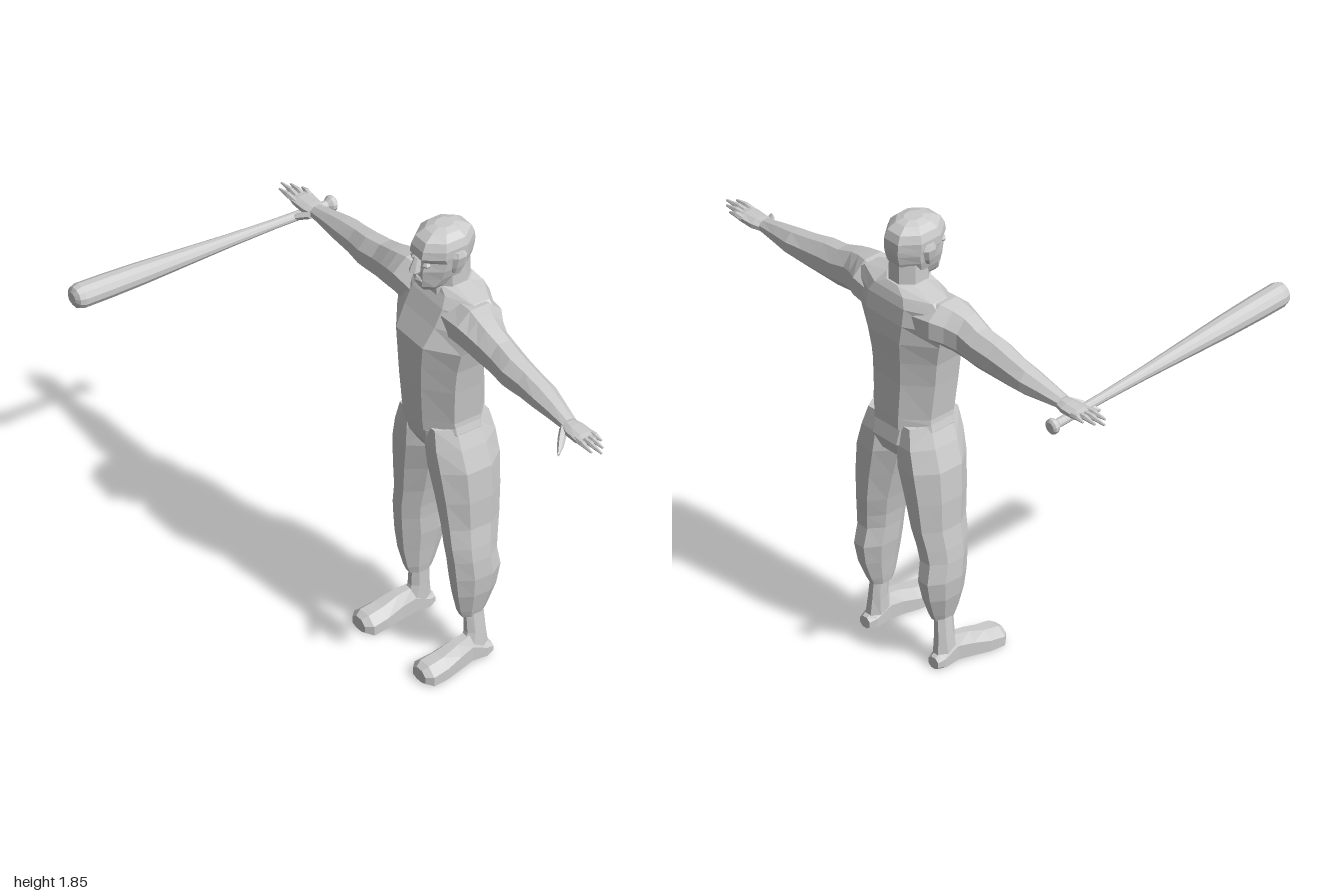
import * as THREE from 'three';

const grey = new THREE.MeshStandardMaterial({ color: 0xcccccc, flatShading: true });
grey.name = 'light grey';

// Lofts polygon rings along an axis. Each ring is [t, aMin, aMax, bMin, bMax],
// where (a, b) are (x, z) for axis y, (y, z) for axis x and (x, y) for axis z.
function loft(name, axis, rings, { sides = 8, side = 1, warp } = {}) {
  const pos = [], idx = [];
  const put = (t, a, b) => {
    const p = axis === 'y' ? [a, t, b] : axis === 'x' ? [t, a, b] : [a, b, t];
    const v = new THREE.Vector3(p[0] * side, p[1], p[2]);
    if (warp) warp(v);
    pos.push(v.x, v.y, v.z);
  };
  const k = 1 / Math.cos(Math.PI / sides);
  for (const [t, a0, a1, b0, b1] of rings) {
    for (let i = 0; i < sides; i++) {
      const g = ((i + 0.5) / sides) * Math.PI * 2;
      put(t, (a0 + a1) / 2 + ((a1 - a0) / 2) * k * Math.cos(g), (b0 + b1) / 2 + ((b1 - b0) / 2) * k * Math.sin(g));
    }
  }
  for (let r = 0; r < rings.length - 1; r++) {
    for (let i = 0; i < sides; i++) {
      const a = r * sides + i, b = r * sides + ((i + 1) % sides), c = a + sides, d = b + sides;
      idx.push(a, b, d, a, d, c);
    }
  }
  const last = (rings.length - 1) * sides;
  for (let i = 1; i < sides - 1; i++) idx.push(0, i + 1, i, last, last + i, last + i + 1);
  // Turn the faces outward
  const P = (i) => new THREE.Vector3().fromArray(pos, i * 3);
  let volume = 0;
  for (let i = 0; i < idx.length; i += 3) volume += P(idx[i]).dot(P(idx[i + 1]).cross(P(idx[i + 2])));
  if (volume < 0) idx.reverse();
  const geo = new THREE.BufferGeometry();
  geo.setAttribute('position', new THREE.Float32BufferAttribute(pos, 3));
  geo.setIndex(idx);
  geo.computeVertexNormals();
  const mesh = new THREE.Mesh(geo, grey);
  mesh.name = name;
  return mesh;
}

// Ring centred on (a, b) with half sizes ra, rb
const at = (t, a, b, ra, rb = ra) => [t, a - ra, a + ra, b - rb, b + rb];
// Ring centred on x = 0
const mid = (y, rx, back, front) => [y, -rx, rx, back, front];

function torso() {
  const g = new THREE.Group();
  g.name = 'torso';
  // The hem rises towards the sides
  g.add(loft('shirt', 'y', [
    mid(0.985, 0.152, -0.588, -0.318), mid(1.05, 0.15, -0.588, -0.313),
    mid(1.2, 0.165, -0.583, -0.303), mid(1.3, 0.178, -0.59, -0.3),
    mid(1.39, 0.2, -0.602, -0.3), mid(1.47, 0.225, -0.6, -0.345),
    mid(1.54, 0.225, -0.59, -0.38), mid(1.578, 0.18, -0.577, -0.405),
    mid(1.602, 0.07, -0.56, -0.415),
  ], { warp: (v) => { if (v.y < 1.02) v.y += 0.3 * Math.abs(v.x); } }));
  g.add(loft('hips', 'y', [
    mid(0.85, 0.03, -0.53, -0.4), mid(0.88, 0.08, -0.575, -0.37),
    mid(0.94, 0.15, -0.597, -0.335), mid(1.0, 0.157, -0.583, -0.325),
    mid(1.06, 0.14, -0.575, -0.33),
  ]));
  return g;
}

function head() {
  const g = new THREE.Group();
  g.name = 'head';
  g.add(loft('neck', 'y', [
    mid(1.56, 0.085, -0.565, -0.395), mid(1.6, 0.068, -0.552, -0.4), mid(1.68, 0.066, -0.55, -0.4),
  ]));
  g.add(loft('skull', 'y', [
    mid(1.595, 0.035, -0.43, -0.352), mid(1.615, 0.052, -0.47, -0.34),
    mid(1.65, 0.068, -0.535, -0.338), mid(1.69, 0.08, -0.555, -0.336),
    mid(1.725, 0.085, -0.564, -0.345), mid(1.748, 0.089, -0.566, -0.328),
    mid(1.78, 0.09, -0.565, -0.334), mid(1.812, 0.08, -0.552, -0.35),
    mid(1.835, 0.058, -0.52, -0.385), mid(1.845, 0.03, -0.49, -0.42),
  ]));
  g.add(loft('nose', 'y', [
    mid(1.672, 0.014, -0.35, -0.32), mid(1.684, 0.019, -0.35, -0.302), mid(1.742, 0.009, -0.35, -0.325),
  ], { sides: 6 }));
  g.add(loft('lips', 'y', [
    mid(1.63, 0.02, -0.36, -0.335), mid(1.643, 0.026, -0.36, -0.328), mid(1.657, 0.016, -0.36, -0.333),
  ], { sides: 6 }));
  for (const s of [1, -1]) {
    g.add(loft('eye', 'y', [at(1.708, 0.035, -0.352, 0.01), at(1.718, 0.035, -0.35, 0.017, 0.014), at(1.729, 0.035, -0.352, 0.01)], { sides: 6, side: s }));
    g.add(loft('ear', 'y', [
      [1.675, 0.072, 0.088, -0.46, -0.435], [1.7, 0.075, 0.097, -0.475, -0.432],
      [1.745, 0.08, 0.107, -0.488, -0.432], [1.765, 0.082, 0.102, -0.475, -0.44],
    ], { sides: 6, side: s }));
  }
  return g;
}

function arm(side) {
  const g = new THREE.Group();
  g.name = side > 0 ? 'leftArm' : 'rightArm';
  g.add(loft('sleeve', 'x', [
    at(0.1, 1.485, -0.475, 0.085, 0.105), at(0.2, 1.491, -0.468, 0.087, 0.098),
    at(0.25, 1.48, -0.458, 0.086, 0.08),
    at(0.3, 1.467, -0.453, 0.085, 0.067), at(0.37, 1.452, -0.457, 0.076, 0.062),
    at(0.45, 1.443, -0.452, 0.071, 0.061), at(0.53, 1.436, -0.457, 0.061, 0.054),
    at(0.62, 1.43, -0.459, 0.05, 0.052), at(0.7, 1.424, -0.455, 0.038, 0.041),
    at(0.79, 1.416, -0.45, 0.023, 0.03),
  ], { side }));
  g.add(loft('palm', 'x', [
    at(0.77, 1.414, -0.45, 0.018, 0.027), at(0.82, 1.413, -0.45, 0.021, 0.04),
    at(0.88, 1.416, -0.45, 0.016, 0.043), at(0.9, 1.417, -0.45, 0.011, 0.04),
  ], { side }));
  // Fingers as [base z, tip x, tip z]
  for (const [bz, tx, tz] of [[-0.482, 0.935, -0.488], [-0.462, 0.975, -0.466], [-0.441, 1.0, -0.443], [-0.42, 0.975, -0.416]]) {
    g.add(loft('finger', 'x', [
      at(0.87, 1.416, bz, 0.011), at((0.87 + tx) / 2, 1.421, (bz + tz) / 2, 0.01),
      at(tx, 1.417, tz, 0.004),
    ], { sides: 6, side }));
  }
  g.add(loft('thumb', 'x', [
    at(0.785, 1.41, -0.43, 0.015, 0.02), at(0.82, 1.397, -0.395, 0.014, 0.018),
    at(0.85, 1.383, -0.367, 0.011, 0.013), at(0.87, 1.373, -0.345, 0.005),
  ], { sides: 6, side }));
  return g;
}

function leg(side) {
  const g = new THREE.Group();
  g.name = side > 0 ? 'leftLeg' : 'rightLeg';
  g.add(loft('trouserLeg', 'y', [
    [0.19, 0.135, 0.192, -0.505, -0.412], [0.22, 0.13, 0.2, -0.52, -0.4],
    [0.3, 0.12, 0.22, -0.55, -0.382], [0.38, 0.108, 0.23, -0.566, -0.372],
    [0.46, 0.102, 0.229, -0.552, -0.365], [0.52, 0.094, 0.224, -0.56, -0.358],
    [0.6, 0.077, 0.214, -0.575, -0.356], [0.72, 0.046, 0.216, -0.585, -0.345],
    [0.85, 0.008, 0.209, -0.594, -0.332], [0.94, 0.005, 0.18, -0.59, -0.328],
    [1.02, 0.015, 0.148, -0.575, -0.335],
  ], { side }));
  g.add(loft('ankle', 'y', [
    [0.05, 0.145, 0.212, -0.512, -0.4], [0.12, 0.146, 0.204, -0.505, -0.425], [0.22, 0.145, 0.192, -0.5, -0.425],
  ], { side }));
  // Clamping the lower corners to the ground makes a flat, wide sole
  g.add(loft('shoe', 'z', [
    [-0.525, 0.155, 0.207, 0, 0.045], [-0.495, 0.145, 0.215, -0.02, 0.065],
    [-0.43, 0.144, 0.215, -0.03, 0.11], [-0.37, 0.14, 0.23, -0.03, 0.1],
    [-0.3, 0.13, 0.245, -0.03, 0.078], [-0.235, 0.126, 0.25, -0.03, 0.066],
    [-0.21, 0.15, 0.228, -0.01, 0.052],
  ], { side, warp: (v) => { v.y = Math.max(v.y, 0); } }));
  return g;
}

// Bat held in the right hand, profile as [distance along z, radius]
function bat() {
  const profile = [[-0.562, 0.02], [-0.555, 0.029], [-0.54, 0.029], [-0.525, 0.017], [-0.3, 0.018],
    [-0.1, 0.024], [0.1, 0.033], [0.3, 0.042], [0.45, 0.046], [0.565, 0.047], [0.588, 0.04], [0.6, 0.022]];
  return loft('bat', 'z', profile.map(([z, r]) => at(z, -0.837, 1.411 + 0.057 * z, r)), { sides: 12 });
}

export function createModel() {
  const model = new THREE.Group();
  model.name = 'figure';
  model.add(torso(), head(), bat());
  for (const s of [1, -1]) model.add(arm(s), leg(s));
  return model;
}
